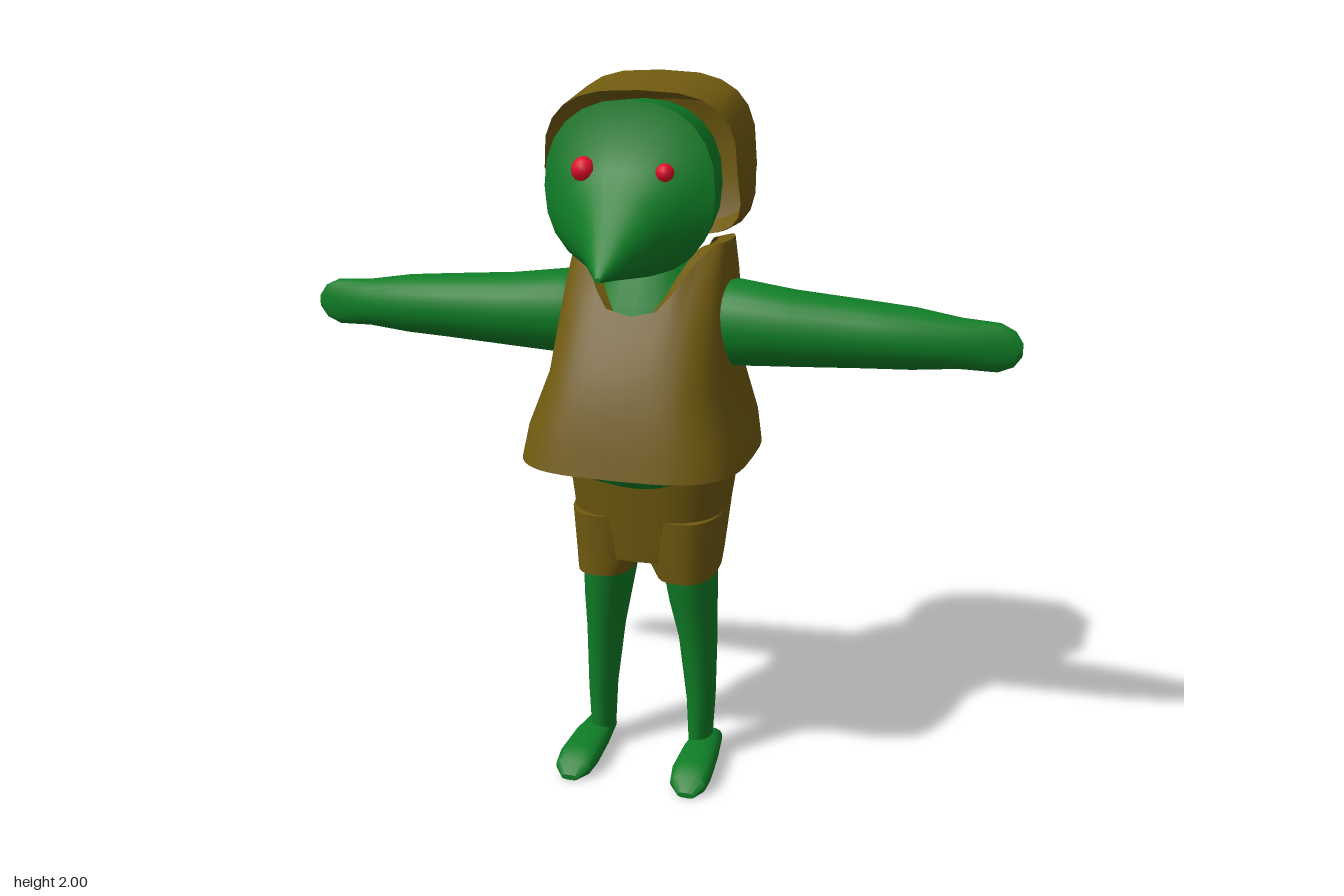
import * as THREE from 'three';
import { toCreasedNormals } from 'three/addons/utils/BufferGeometryUtils.js';

const skin = new THREE.MeshStandardMaterial({ color: 0x0f7d26, side: THREE.DoubleSide });
skin.name = 'green skin';
const cloth = new THREE.MeshStandardMaterial({ color: 0x705a10, side: THREE.DoubleSide });
cloth.name = 'brown cloth';
const red = new THREE.MeshStandardMaterial({ color: 0xe00a28 });
red.name = 'red eyes';

const SEG = 24;
const spow = (v, p) => Math.sign(v) * Math.abs(v) ** p;

// Skin a list of rings (arrays of [x, y, z]); side = -1 mirrors in x.
function skinRings(rings, { side = 1, caps = true, crease = 0.6 } = {}) {
  const pos = [], index = [], n = rings[0].length;
  const tri = (a, b, c) => (side > 0 ? index.push(a, b, c) : index.push(a, c, b));
  rings.forEach(r => r.forEach(p => pos.push(p[0] * side, p[1], p[2])));
  for (let i = 0; i < rings.length - 1; i++) {
    for (let j = 0; j < n; j++) {
      const k = (j + 1) % n, a = i * n + j, b = i * n + k;
      tri(a, b, b + n);
      tri(a, b + n, a + n);
    }
  }
  if (caps) {
    [0, rings.length - 1].forEach((i, end) => {
      const c = pos.length / 3, r = rings[i];
      const mid = [0, 1, 2].map(d => r.reduce((s, p) => s + p[d], 0) / n);
      pos.push(mid[0] * side, mid[1], mid[2]);
      for (let j = 0; j < n; j++) {
        const a = i * n + j, b = i * n + (j + 1) % n;
        if (end) tri(c, a, b); else tri(c, b, a);
      }
    });
  }
  const g = new THREE.BufferGeometry();
  g.setAttribute('position', new THREE.Float32BufferAttribute(pos, 3));
  g.setIndex(index);
  return toCreasedNormals(g, crease);
}

// Sections [at, uMin, uMax, vMin, vMax] in ascending order along an axis.
// Axis x uses u,v = y,z; axis y uses z,x; axis z uses x,y.
function sectionRings(axis, sections, power = 1) {
  const ai = 'xyz'.indexOf(axis), ui = (ai + 1) % 3, vi = (ai + 2) % 3;
  return sections.map(([at, u0, u1, v0, v1]) => Array.from({ length: SEG }, (_, j) => {
    const t = j / SEG * Math.PI * 2, p = [0, 0, 0];
    p[ai] = at;
    p[ui] = (u0 + u1) / 2 + (u1 - u0) / 2 * spow(Math.cos(t), power);
    p[vi] = (v0 + v1) / 2 + (v1 - v0) / 2 * spow(Math.sin(t), power);
    return p;
  }));
}

// Linear lookup in a table of [key, value]
function lookup(table, k) {
  for (let i = 1; i < table.length; i++) {
    const [a, va] = table[i - 1], [b, vb] = table[i];
    if (k <= b) return va + (vb - va) * Math.max(0, (k - a) / (b - a));
  }
  return table[table.length - 1][1];
}

function hoodGeometry() {
  const rings = sectionRings('z', [
    [-0.365, -0.19, 0.19, 1.63, 1.85],
    [-0.345, -0.235, 0.235, 1.57, 1.91],
    [-0.2, -0.265, 0.265, 1.54, 2.0],
    [0.01, -0.262, 0.262, 1.55, 1.965],
  ], 0.68);
  // The lower part of the opening sweeps backwards
  const sweep = [0, 0, 0.4, 1];
  rings.forEach((r, i) => r.forEach(p => {
    p[2] -= sweep[i] * 0.25 * (Math.max(0, 1.78 - p[1]) / 0.23) ** 1.6;
  }));
  // Open front, closed back
  const mid = rings[0].map(() => [0, 1.74, -0.368]);
  return skinRings([mid, ...rings], { caps: false });
}

function vestGeometry() {
  const front = [[0.99, 0.26], [1.2, 0.2], [1.38, 0.1], [1.48, 0.04], [1.56, -0.04]];
  const back = [[0.99, -0.345], [1.4, -0.345], [1.48, -0.32], [1.56, -0.27]];
  const half = [[0.99, 0.31], [1.07, 0.298], [1.22, 0.245], [1.4, 0.232], [1.56, 0.215]];
  const rings = [];
  for (const t of [0, 0.15, 0.4, 0.65, 0.85, 1]) {
    rings.push(Array.from({ length: SEG * 2 }, (_, j) => {
      const a = j / SEG * Math.PI;
      const cu = spow(Math.cos(a), 0.6), su = spow(Math.sin(a), 0.6);
      // Scooped neckline: low in the middle, high over the shoulders
      const top = 1.39 + 0.175 * THREE.MathUtils.smoothstep(Math.abs(su), 0.15, 0.95);
      const y = 0.99 + (top - 0.99) * t;
      const f = lookup(front, y), b = lookup(back, y);
      return [lookup(half, y) * su, y, (f + b) / 2 + (f - b) / 2 * cu];
    }));
  }
  // Shoulder straps turn inwards
  rings.push(rings[rings.length - 1].map(([x, y, z]) => [x * 0.78, y - 0.01, -0.13 + (z + 0.13) * 0.92]));
  return skinRings(rings, { caps: false });
}

export function createModel() {
  const model = new THREE.Group();
  model.name = 'figure';
  const add = (name, geometry, material) => {
    const m = new THREE.Mesh(geometry, material);
    m.name = name;
    model.add(m);
    return m;
  };

  // Head with a long pointed snout
  add('head', skinRings(sectionRings('z', [
    [-0.2, -0.17, 0.17, 1.58, 1.88],
    [-0.05, -0.21, 0.21, 1.52, 1.94],
    [0.1, -0.228, 0.228, 1.5, 1.95],
    [0.112, -0.2, 0.2, 1.5, 1.86],
    [0.15, -0.155, 0.155, 1.505, 1.78],
    [0.2, -0.11, 0.11, 1.512, 1.72],
    [0.27, -0.062, 0.062, 1.523, 1.64],
    [0.36, -0.008, 0.008, 1.535, 1.548],
  ], 0.88)), skin);
  add('hood', hoodGeometry(), cloth);

  // Eyes, one larger than the other
  for (const [name, x, r, z] of [['rightEye', -0.11, 0.034, 0.128], ['leftEye', 0.105, 0.025, 0.132]]) {
    add(name, new THREE.SphereGeometry(r, 12, 8), red).position.set(x, 1.775, z);
  }

  // Body and vest
  add('torso', skinRings(sectionRings('y', [
    [0.9, -0.2, 0.06, -0.12, 0.12],
    [0.94, -0.28, 0.15, -0.19, 0.19],
    [0.99, -0.3, 0.18, -0.225, 0.225],
    [1.2, -0.3, 0.13, -0.21, 0.21],
    [1.4, -0.28, 0.04, -0.19, 0.19],
    [1.5, -0.24, 0.0, -0.14, 0.14],
    [1.56, -0.22, -0.03, -0.1, 0.1],
  ], 0.9)), skin);
  add('vest', vestGeometry(), cloth);

  // Shorts: hips, then one cuff for each leg
  add('shortsHips', skinRings(sectionRings('y', [
    [0.67, -0.25, 0.03, -0.17, 0.17],
    [0.76, -0.32, 0.042, -0.212, 0.212],
    [0.88, -0.348, 0.055, -0.228, 0.228],
    [0.93, -0.338, 0.062, -0.236, 0.236],
    [0.96, -0.29, 0.03, -0.19, 0.19],
  ], 0.72)), cloth);

  for (const side of [1, -1]) {
    const label = side > 0 ? 'left' : 'right';
    const opts = { side };
    add(label + 'ShortsCuff', skinRings(sectionRings('y', [
      [0.615, -0.25, 0.03, 0.035, 0.2],
      [0.66, -0.275, 0.034, 0.008, 0.205],
      [0.8, -0.32, 0.045, 0.0, 0.217],
    ], 0.75), opts), cloth);
    add(label + 'Leg', skinRings(sectionRings('y', [
      [0.05, -0.185, -0.07, 0.118, 0.185],
      [0.2, -0.19, -0.065, 0.11, 0.193],
      [0.4, -0.2, -0.05, 0.085, 0.196],
      [0.52, -0.205, -0.02, 0.06, 0.197],
      [0.68, -0.22, 0.0, 0.03, 0.197],
    ]), opts), skin);
    add(label + 'Foot', skinRings(sectionRings('z', [
      [-0.2, 0.145, 0.19, 0.03, 0.055],
      [-0.17, 0.125, 0.208, 0.018, 0.075],
      [-0.06, 0.115, 0.222, 0.01, 0.082],
      [0.05, 0.112, 0.23, 0.006, 0.074],
      [0.1, 0.12, 0.226, 0.004, 0.056],
      [0.13, 0.15, 0.2, 0.004, 0.02],
    ], 0.8), opts), skin);
    add(label + 'Arm', skinRings(sectionRings('x', [
      [0.18, 1.24, 1.45, -0.2, 0.0],
      [0.24, 1.23, 1.467, -0.213, 0.012],
      [0.4, 1.238, 1.445, -0.203, 0.0],
      [0.6, 1.25, 1.43, -0.188, -0.008],
      [0.72, 1.255, 1.42, -0.178, -0.018],
      [0.84, 1.265, 1.4, -0.158, -0.045],
      [0.94, 1.262, 1.394, -0.13, -0.072],
      [0.98, 1.28, 1.375, -0.112, -0.083],
      [1.0, 1.31, 1.345, -0.1, -0.09],
    ]), opts), skin);
  }
  return model;
}
